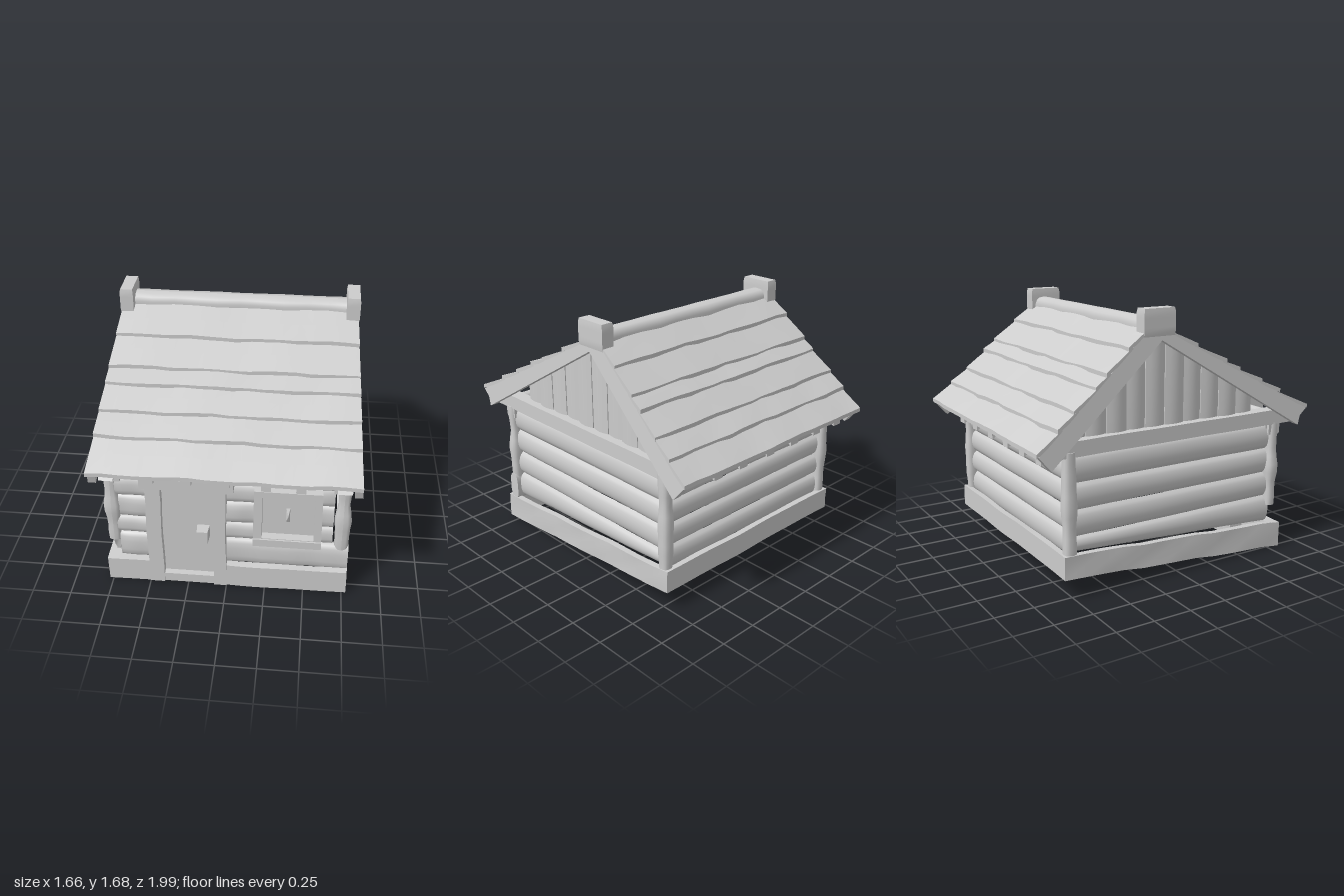
import * as THREE from 'three';

export function createModel() {
  const cabin = new THREE.Group();
  cabin.name = 'logCabin';
  const wood = new THREE.MeshStandardMaterial({ color: 0xcccccc, side: THREE.DoubleSide });
  wood.name = 'pale wood';

  const add = (name, geometry) => {
    const mesh = new THREE.Mesh(geometry, wood);
    mesh.name = name;
    cabin.add(mesh);
    return mesh;
  };
  const mix = THREE.MathUtils.lerp;
  // gentle, repeatable hand-hewn unevenness
  const wob = (a, b, amount) => amount * (Math.sin(a * 11 + b * 7) + 0.6 * Math.sin(a * 23 - b * 13));

  // move every vertex of a geometry by a rule
  const remap = (geometry, rule) => {
    const p = geometry.attributes.position;
    for (let i = 0; i < p.count; i++) p.setXYZ(i, ...rule(p.getX(i), p.getY(i), p.getZ(i)));
    geometry.computeVertexNormals();
    return geometry;
  };

  // box given by its limits, with an optional extra rule
  const box = (name, x0, x1, y0, y1, z0, z1, rule = (x, y, z) => [x, y, z], seg = [1, 1, 1]) =>
    add(name, remap(new THREE.BoxGeometry(1, 1, 1, ...seg), (x, y, z) =>
      rule(mix(x0, x1, x + 0.5), mix(y0, y1, y + 0.5), mix(z0, z1, z + 0.5))));

  // whole log along x or y, from a to b, squarish in section
  const log = (name, axis, a, b, at, half, cross, thick, amount = 0.004) => {
    const square = (v) => Math.sign(v) * Math.pow(Math.abs(v), 0.75);
    return add(name, remap(new THREE.CylinderGeometry(1, 1, 1, 14, 10), (u, v, w) => {
      const l = mix(a, b, v + 0.5);
      const k = 1 + wob(l * 1.3, at * 5, amount / thick);
      if (axis === 'x') return [l, at + half * square(w), cross + thick * k * square(u)];
      return [at + half * k * square(u), l, cross + thick * k * square(w)];
    }));
  };

  // shallow log face of a thin wall; edges run level or sloping, place() sets it on its wall
  const wallLog = (name, lowA, lowB, highA, highB, place) =>
    add(name, remap(new THREE.PlaneGeometry(1, 1, 12, 10), (u, v) => {
      const t = u + 0.5, y = mix(mix(lowA, lowB, t), mix(highA, highB, t), v + 0.5);
      const bulge = 0.034 * Math.pow(Math.max(0, 1 - 4 * v * v), 0.6);
      return place(t, y, bulge + wob(t * 0.7, lowA * 9, 0.002));
    }));

  // sloping foundation
  const sillBottom = (z) => mix(0.01, 0.14, (0.84 - z) / 1.65);
  const sillTop = (z) => mix(0.18, 0.285, (0.84 - z) / 1.65);
  const slope = (x, y, z) => [x + wob(z, y, 0.003), mix(sillBottom(z), sillTop(z), y) + wob(z, x, 0.003), z];
  for (const s of [-1, 1]) {
    box('sideSill', s * 0.757 - 0.02, s * 0.757 + 0.02, 0, 1, -0.81, 0.83, slope, [1, 2, 12]);
  }
  box('backSill', -0.76, 0.76, 0, 1, -0.81, -0.77, slope, [12, 2, 1]);
  box('frontSillLeft', -0.01, 0.775, 0, 1, 0.79, 0.835, slope, [8, 2, 1]);
  box('frontSillRight', -0.775, -0.48, 0, 1, 0.74, 0.835, slope, [4, 2, 1]);

  // side walls with corner posts and the beam under the gable
  const courses = [0.37, 0.535, 0.7, 0.875];
  for (const s of [-1, 1]) {
    const onSide = (t, y, out) => [s * (0.712 + out), y, mix(-0.75, 0.75, t)];
    for (let i = 0; i < 3; i++) {
      wallLog('sideLog', courses[i], courses[i], courses[i + 1], courses[i + 1], onSide);
    }
    wallLog('lowestSideLog', 0.28, 0.19, 0.37, 0.37, onSide);
    box('gableBeam', s * 0.72 - 0.045, s * 0.72 + 0.045, 0.87, 0.965, -0.9, 0.9,
      (x, y, z) => [x, y + wob(z, 0, 0.002), z * (y > 0.92 ? 0.92 : 1)], [1, 1, 10]);
    log('backCornerPost', 'y', 0.25, 0.9, s * 0.735, 0.04, -0.755, 0.042);
    log('frontCornerPost', 'y', s < 0 ? 0.31 : 0.25, 0.88, s * 0.728, 0.045, 0.765, 0.038, 0.006);
    box('cornerBlock', s * 0.715 - 0.05, s * 0.715 + 0.05, 0.8, 0.94, 0.72, 0.81,
      (x, y, z) => [y < 0.85 ? x * 0.99 : x, y, z]);
  }

  // back wall
  const onBack = (t, y, out) => [mix(-0.735, 0.735, t), y, -0.735 - out];
  const backCourses = [0.25, 0.405, 0.555, 0.705, 0.86, 1.02];
  for (let i = 0; i < 5; i++) {
    wallLog('backLog', backCourses[i], backCourses[i], backCourses[i + 1], backCourses[i + 1], onBack);
  }

  // front wall, broken by the door and the window
  log('frontBottomLogLeft', 'x', -0.01, 0.775, 0.27, 0.1, 0.765, 0.04);
  log('frontBottomLogRight', 'x', -0.69, -0.48, 0.27, 0.1, 0.76, 0.04);
  for (const [y, h] of [[0.435, 0.065], [0.585, 0.085], [0.74, 0.072]]) {
    log('frontLogRight', 'x', -0.7, -0.48, y, h, 0.755, 0.042);
    log('frontLogMiddle', 'x', -0.02, 0.19, y, h, 0.755, 0.042);
    log('frontLogLeft', 'x', 0.58, 0.67, y, h, 0.75, 0.04);
  }
  log('frontTopLog', 'x', -0.74, 0.74, 0.875, 0.08, 0.755, 0.042);

  // door
  const lean = (x, y, z) => [x + wob(y, 0, 0.003), y, z];
  box('doorPostRight', -0.5, -0.405, 0.02, 0.8, 0.64, 0.85, lean, [1, 6, 1]);
  box('doorPostLeft', -0.08, 0, 0.02, 0.8, 0.64, 0.85, lean, [1, 6, 1]);
  box('doorThreshold', -0.48, -0.01, 0.02, 0.085, 0.64, 0.84);
  box('doorLintel', -0.53, 0.05, 0.79, 0.87, 0.68, 0.86, (x, y, z) => [x, y + wob(x, 0, 0.004), z], [8, 1, 1]);
  box('doorPanel', -0.41, -0.075, 0.08, 0.795, 0.77, 0.8);
  box('doorHandle', -0.185, -0.105, 0.395, 0.485, 0.79, 0.875,
    (x, y, z) => [z > 0.85 ? mix(x, -0.145, 0.15) : x, y, z]);

  // window: frame, pane and a small knob
  const points = (list) => list.map((p) => new THREE.Vector2(...p));
  const frame = new THREE.Shape(points([[0.17, 0.37], [0.6, 0.37], [0.595, 0.8], [0.175, 0.8]]));
  frame.holes.push(new THREE.Path(points([[0.225, 0.43], [0.225, 0.755], [0.55, 0.755], [0.55, 0.43]])));
  add('windowFrame', new THREE.ExtrudeGeometry(frame, { depth: 0.12, bevelEnabled: false })).position.z = 0.71;
  box('windowSill', 0.17, 0.6, 0.37, 0.425, 0.8, 0.84);
  box('windowPane', 0.22, 0.555, 0.425, 0.76, 0.755, 0.775);
  box('windowKnob', 0.37, 0.4, 0.52, 0.65, 0.77, 0.8,
    (x, y, z) => [z > 0.785 ? 0.387 : x, z > 0.785 ? 0.585 : y, z]);

  // roof lines
  const frontRoof = (z) => 0.985 + (1 - z) * 0.54;
  const backRoof = (z) => 0.935 + (z + 1) * 0.855;
  const roofHalfWidth = (y) => 0.77 + (1.55 - y) * 0.085;
  const frontInner = (z) => 0.86 + (0.91 - z) * 0.604;
  const backInner = (z) => 0.83 + (z + 0.91) * 0.866;

  // overlapping roof boards, each tucked under the one above
  const board = (name, zTop, zEave, line) => {
    const z0 = Math.min(zTop, zEave), z1 = Math.max(zTop, zEave);
    box(name, -1, 1, -0.026, 0, z0, z1, (u, dy, z) => {
      const down = (z - zTop) / (zEave - zTop);
      const zz = z + (down > 0.9 ? wob(u, zEave * 3, 0.004) : 0);
      const y = line(z) + dy + mix(-0.025, 0.002, down) + wob(u * 0.5, zEave * 5, 0.003);
      return [u * roofHalfWidth(line(z)), y, zz];
    }, [16, 1, 2]);
  };
  const frontEdges = [-0.12, 0.12, 0.33, 0.44, 0.61, 0.765, 0.99];
  const backEdges = [-0.22, -0.375, -0.53, -0.61, -0.75, -0.86, -0.995];
  for (let i = 0; i < 6; i++) {
    board('frontRoofBoard', frontEdges[i] - (i ? 0.03 : 0), frontEdges[i + 1], frontRoof);
    board('backRoofBoard', backEdges[i] + (i ? 0.03 : 0), backEdges[i + 1], backRoof);
  }

  // ridge beam and its end blocks
  log('ridgeBeam', 'x', -0.72, 0.72, 1.555, 0.072, -0.175, 0.066);
  for (const s of [-1, 1]) {
    box('ridgeEndBlock', s * 0.732 - 0.043, s * 0.732 + 0.043, 1.52, 1.685, -0.27, -0.05,
      (x, y, z) => {
        const k = y > 1.67 ? 0.92 : y < 1.54 ? 0.88 : 1;
        return [s * 0.732 + (x - s * 0.732) * k, y, -0.16 + (z + 0.16) * (y > 1.67 ? 0.95 : 1)];
      }, [1, 6, 1]);
  }

  // barge boards along both gables, flaring towards the eaves
  const barge = new THREE.Shape(points([
    [0.985, 0.965], [-0.055, 1.53], [-0.27, 1.53], [-0.985, 0.92],
    [-0.91, 0.83], [-0.142, 1.495], [0.91, 0.86], [0.93, 0.92],
  ]));
  for (const s of [-1, 1]) {
    const g = new THREE.ExtrudeGeometry(barge, { depth: 0.05, bevelEnabled: false });
    g.rotateY(-Math.PI / 2);
    add('bargeBoard', remap(g, (x, y, z) => [x + 0.025 + s * (roofHalfWidth(y) - 0.028), y, z]));
  }

  // upright gable boards, bowed outwards and cut to the roof slope
  for (const s of [-1, 1]) {
    for (let i = 0; i < 10; i++) {
      const z0 = -0.76 + i * 0.137, z1 = z0 + 0.137;
      box('gableBoard', -0.012, 0.012, 0, 1, z0, z1, (x, y, z) => {
        const bow = 0.014 * Math.sin(Math.PI * (z - z0) / 0.137);
        const top = Math.min(frontInner(z), backInner(z)) + 0.04;
        return [s * (0.685 + bow + (i % 3) * 0.006) + x, mix(0.9, Math.max(top, 0.91), y), z];
      }, [1, 1, 4]);
    }
  }

  // rafter ends under both eaves
  for (const x of [-0.46, -0.23, 0, 0.25, 0.46]) {
    box('frontRafterEnd', x - 0.03, x + 0.03, 0.86, 0.95, 0.7, 0.9,
      (px, y, z) => [px, y + (0.9 - z) * 0.4, z]);
  }
  for (const x of [-0.68, -0.46, -0.23, 0, 0.25, 0.47]) {
    box('backRafterEnd', x - 0.035, x + 0.035, 0.835, 0.93, -0.92, -0.7,
      (px, y, z) => [px, y + (z + 0.92) * 0.6, z]);
  }

  return cabin;
}
